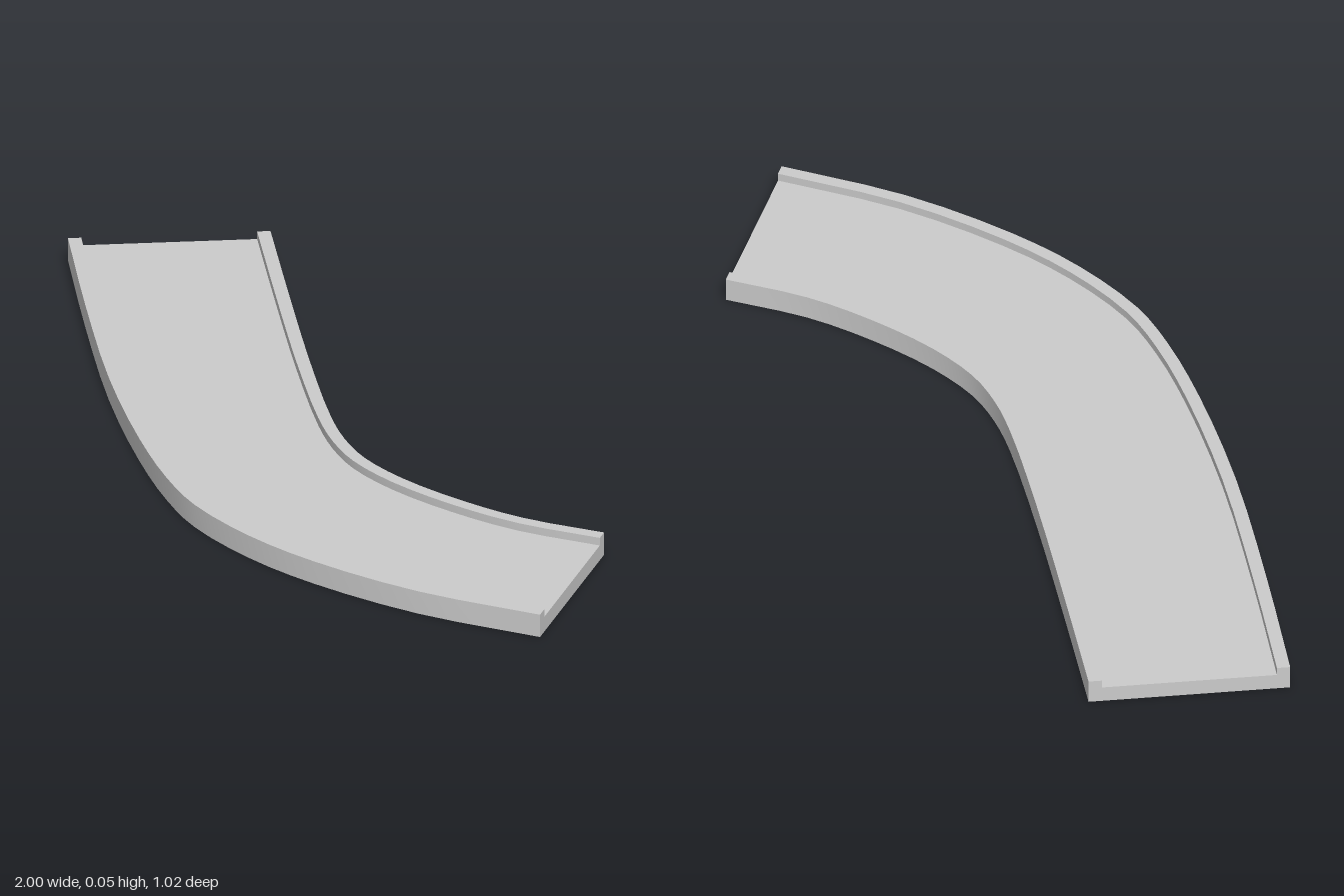
import * as THREE from 'three';
import { toCreasedNormals } from 'three/addons/utils/BufferGeometryUtils.js';

// Matching plan points [x, z] along the two outer edges of the track
const backEdge = [[-0.751, -0.51], [-0.5, -0.335], [-0.23, -0.15], [0, -0.002], [0.1, 0.05],
  [0.195, 0.081], [0.32, 0.09], [0.48, 0.072], [0.63, 0.034], [0.79, -0.04]];
const frontEdge = [[-1, -0.18], [-0.735, 0.01], [-0.44, 0.21], [-0.18, 0.36], [0, 0.446],
  [0.136, 0.491], [0.32, 0.508], [0.5, 0.493], [0.75, 0.432], [1, 0.323]];

// Cross-section [fraction of the width, height]: a slab with a raised lip on each side
const LIP = 0.066, TOP = 0.05, FLOOR = 0.033;
const profile = [[0, 0], [0, TOP], [LIP, TOP], [LIP, FLOOR],
  [1 - LIP, FLOOR], [1 - LIP, TOP], [1, TOP], [1, 0]];

const toCurve = (points) =>
  new THREE.CatmullRomCurve3(points.map(([x, z]) => new THREE.Vector3(x, 0, z)), false, 'centripetal');

function sweptTrack(stations) {
  const back = toCurve(backEdge), front = toCurve(frontEdge);
  const rings = [];
  for (let i = 0; i <= stations; i++) {
    const a = back.getPoint(i / stations), b = front.getPoint(i / stations);
    rings.push(profile.map(([t, y]) => a.clone().lerp(b, t).setY(y)));
  }

  const positions = [];
  const quad = (a, b, c, d) => {
    for (const p of [a, b, c, a, c, d]) positions.push(p.x, p.y, p.z);
  };

  // Skin along the path
  const n = profile.length;
  for (let i = 0; i < stations; i++) {
    for (let j = 0; j < n; j++) {
      const k = (j + 1) % n;
      quad(rings[i][j], rings[i][k], rings[i + 1][k], rings[i + 1][j]);
    }
  }

  // End caps: lip, slab, lip
  const first = rings[0], last = rings[stations];
  for (const [a, b, c, d] of [[0, 1, 2, 3], [0, 3, 4, 7], [7, 4, 5, 6]]) {
    quad(last[a], last[b], last[c], last[d]);
    quad(first[d], first[c], first[b], first[a]);
  }

  const geometry = new THREE.BufferGeometry();
  geometry.setAttribute('position', new THREE.Float32BufferAttribute(positions, 3));
  return toCreasedNormals(geometry, Math.PI / 6);
}

export function createModel() {
  const model = new THREE.Group();
  model.name = 'curvedTrack';
  const track = new THREE.Mesh(sweptTrack(27), new THREE.MeshStandardMaterial({ color: 0xcccccc }));
  track.name = 'trackBedWithLips';
  model.add(track);
  return model;
}
